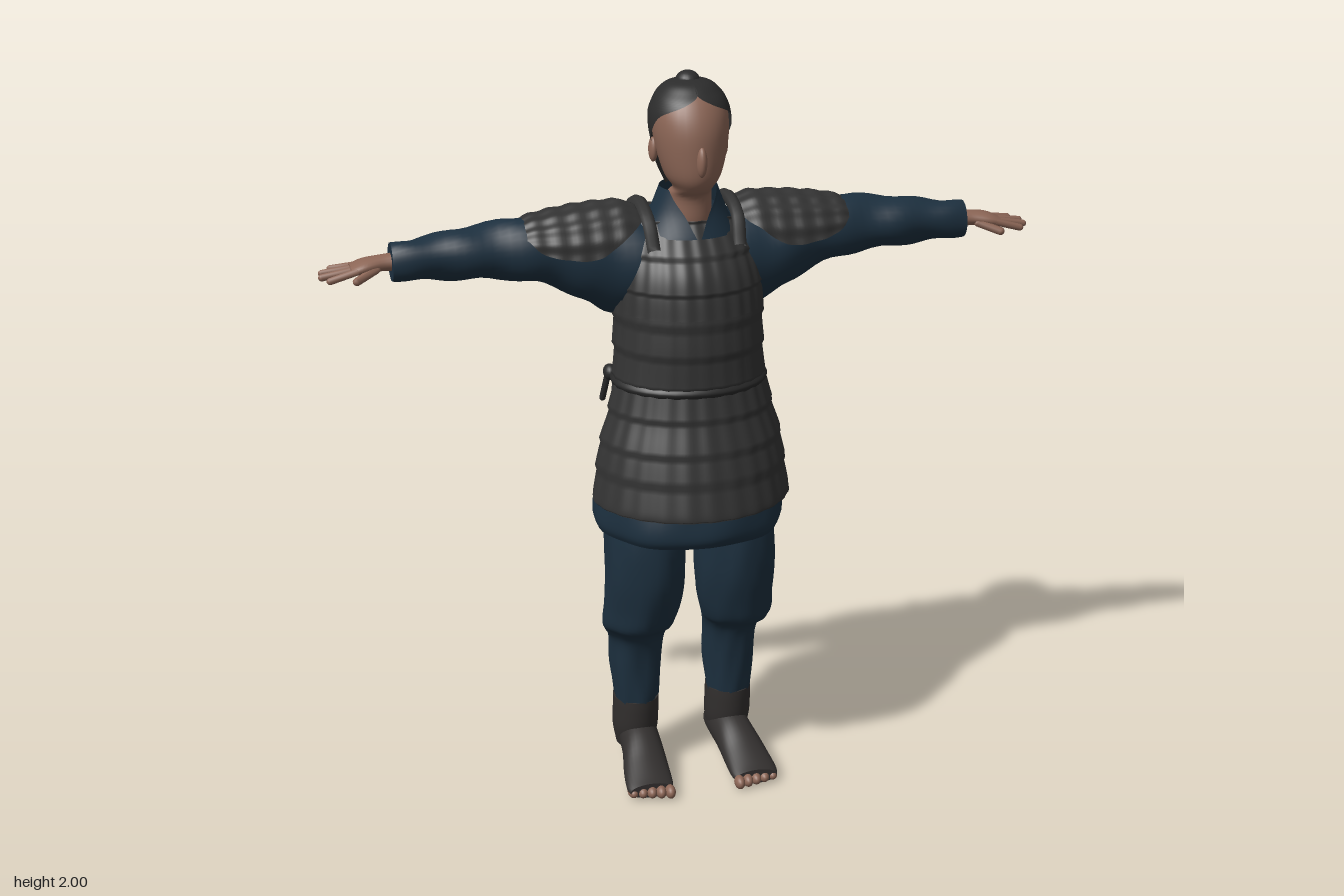
import * as THREE from 'three';

const mat = (name, color) => {
  const m = new THREE.MeshStandardMaterial({ color, side: THREE.DoubleSide });
  m.name = name;
  return m;
};

// Catmull-Rom blend of the rows of a section table
function resample(rows, div) {
  const out = [];
  const at = i => rows[Math.max(0, Math.min(rows.length - 1, i))];
  for (let i = 0; i < rows.length - 1; i++) {
    for (let k = 0; k < div; k++) {
      const t = k / div, a = at(i - 1), b = at(i), c = at(i + 1), d = at(i + 2);
      out.push(b.map((v, n) => 0.5 * (2 * v + (c[n] - a[n]) * t + (2 * a[n] - 5 * v + 4 * c[n] - d[n]) * t * t
        + (3 * v - a[n] - 3 * c[n] + d[n]) * t * t * t)));
    }
  }
  out.push(rows[rows.length - 1]);
  return out;
}

// Loft of elliptical sections [position, centreCos, centreSin, radiusCos, radiusSin, halfAngle?].
// Axis y: cos = z, sin = x. Axis x: cos = y, sin = z. Axis z: cos = x, sin = y.
// With a halfAngle the section is an open arc around the angle `mid`.
function loft(rows, { axis = 'y', div = 5, seg = 32, mid = 0, bump = () => 0 } = {}) {
  const secs = resample(rows, div), open = rows[0].length > 5;
  const w = open ? seg + 1 : seg, pos = [], idx = [];
  const put = (p, c, s) => pos.push(...(axis === 'y' ? [s, p, c] : axis === 'x' ? [p, c, s] : [c, s, p]));
  const ring = ([p, cc, cs, rc, rs, h]) => {
    for (let j = 0; j < w; j++) {
      const a = open ? mid + h * (2 * j / seg - 1) : 2 * Math.PI * j / seg, b = bump(a, p);
      put(p, cc + (rc + b) * Math.cos(a), cs + (rs + b) * Math.sin(a));
    }
  };
  secs.forEach(ring);
  for (let i = 0; i < secs.length - 1; i++) {
    for (let j = 0; j < seg; j++) {
      const k = (j + 1) % w, a = i * w + j, b = i * w + k;
      idx.push(a, b, b + w, a, b + w, a + w);
    }
  }
  if (!open) {
    [secs[0], secs[secs.length - 1]].forEach((s, end) => {
      const start = pos.length / 3;
      ring(s);
      put(s[0], s[1], s[2]);
      for (let j = 0; j < seg; j++) {
        const a = start + j, b = start + (j + 1) % seg;
        idx.push(start + seg, end ? a : b, end ? b : a);
      }
    });
  }
  const g = new THREE.BufferGeometry();
  g.setAttribute('position', new THREE.Float32BufferAttribute(pos, 3));
  g.setIndex(idx);
  g.computeVertexNormals();
  return g;
}

// Copy of a geometry on the other side of x = 0
function mirrored(geo) {
  const g = geo.clone().scale(-1, 1, 1), ix = g.index.array;
  for (let i = 0; i < ix.length; i += 3) [ix[i], ix[i + 1]] = [ix[i + 1], ix[i]];
  g.computeVertexNormals();
  return g;
}

// Rounded finger between two points
function finger(a, b, r) {
  const p = new THREE.Vector3(...a), q = new THREE.Vector3(...b), d = q.clone().sub(p);
  const g = new THREE.CapsuleGeometry(r, d.length(), 4, 8);
  const turn = new THREE.Quaternion().setFromUnitVectors(new THREE.Vector3(0, 1, 0), d.normalize());
  return g.applyQuaternion(turn).translate((p.x + q.x) / 2, (p.y + q.y) / 2, (p.z + q.z) / 2);
}

const ellipsoid = (x, y, z, rx, ry, rz) => new THREE.SphereGeometry(1, 20, 14).scale(rx, ry, rz).translate(x, y, z);

// Overlapping rows of small plates, and soft cloth folds
const lames = (a, p) => { const f = -p / 0.085; return 0.007 * (f - Math.floor(f)) + 0.0015 * Math.cos(a * 26); };
const folds = (a, p) => 0.004 * Math.sin(a * 5 + p * 14) + 0.002 * Math.sin(a * 9 - p * 23);
const creases = (a, p) => 0.0035 * Math.sin(p * 42 + 2.5 * Math.sin(a)) + 0.002 * Math.sin(3 * a + p * 17);

export function createModel() {
  const model = new THREE.Group();
  model.name = 'armouredFigure';
  const armour = mat('armour grey', 0x333333), cloth = mat('cloth blue', 0x1d303f), skin = mat('skin', 0x8c6656);
  const hair = mat('hair', 0x2c2c2c), boot = mat('boot', 0x322f2e), cord = mat('cord', 0x292929);
  const add = (name, geo, m) => {
    const mesh = new THREE.Mesh(geo, m);
    mesh.name = name;
    model.add(mesh);
  };
  const pair = (name, geo, m) => {
    add(name + 'Left', geo, m);
    add(name + 'Right', mirrored(geo), m);
  };

  // Head and neck
  add('head', loft([[1.58, 0, 0, .055, .055], [1.62, 0, 0, .06, .06], [1.68, .005, 0, .06, .058], [1.705, .035, 0, .068, .05],
    [1.74, .035, 0, .09, .072], [1.8, .025, 0, .105, .09], [1.86, .015, 0, .112, .099], [1.91, .01, 0, .1, .095],
    [1.95, 0, 0, .08, .075], [1.975, 0, 0, .03, .03]]), skin);
  add('nose', ellipsoid(0, 1.79, .126, .014, .04, .02), skin);
  pair('ear', ellipsoid(.094, 1.8, -.005, .012, .033, .02), skin);

  // Hair and topknot
  add('hair', loft([[1.7, 0, 0, .07, .06, 1.1], [1.76, 0, 0, .09, .085, 1.3], [1.82, .01, 0, .109, .1, 1.5],
    [1.86, .01, 0, .117, .107, 1.75], [1.9, .005, 0, .115, .106, 2.1], [1.93, .005, 0, .101, .096, 2.75],
    [1.952, 0, 0, .085, .082, Math.PI], [1.974, 0, 0, .055, .055, Math.PI], [1.984, 0, 0, .005, .005, Math.PI]],
  { mid: Math.PI, seg: 40 }), hair);
  add('topknot', ellipsoid(0, 1.974, -.01, .032, .026, .034), hair);

  // Robe and crossed collar
  add('robe', loft([[.76, 0, 0, .215, .25], [.79, 0, 0, .23, .26], [.86, 0, 0, .222, .255], [1, 0, 0, .19, .235],
    [1.17, 0, 0, .155, .195], [1.3, -.01, 0, .155, .18], [1.45, -.02, 0, .155, .185], [1.55, -.04, 0, .125, .18],
    [1.61, -.045, 0, .098, .135], [1.645, -.03, 0, .07, .07]], { bump: folds, seg: 48 }), cloth);
  add('collar', loft([[1.58, -.01, 0, .115, .13, 3.1], [1.64, -.008, 0, .092, .1, 2.8], [1.7, -.005, 0, .082, .076, 2.15]],
    { mid: Math.PI }), cloth);

  // Cuirass with front and back bibs
  const plate = { bump: lames, seg: 90, div: 10 };
  add('cuirass', loft([[1.15, 0, 0, .168, .205], [1.2, 0, 0, .168, .2], [1.3, -.008, 0, .178, .197],
    [1.41, -.014, 0, .176, .197]], plate), armour);
  const bib = h => [[1.38, -.012, 0, .178, .197, h[0]], [1.44, -.017, 0, .176, .197, h[1]], [1.5, -.025, 0, .167, .19, h[2]],
    [1.57, -.038, 0, .135, .175, h[3]], [1.62, -.045, 0, .108, .15, h[4]]];
  add('frontBib', loft(bib([1.4, 1.15, .95, .85, .85]), plate), armour);
  add('backBib', loft(bib([1.4, 1.2, 1.05, .95, .85]), { ...plate, mid: Math.PI }), armour);
  const strap = new THREE.CatmullRomCurve3([[.115, 1.55, .085], [.12, 1.62, .045], [.12, 1.648, -.04], [.12, 1.62, -.13],
    [.115, 1.55, -.17]].map(p => new THREE.Vector3(...p)));
  pair('shoulderStrap', new THREE.TubeGeometry(strap, 24, .018, 8), armour);

  // Waist cord with side knots
  add('waistCord', loft([[1.165, 0, 0, .17, .206], [1.18, 0, 0, .179, .213], [1.195, 0, 0, .17, .204]]), cord);
  pair('sideKnot', ellipsoid(.2, 1.18, -.07, .018, .022, .025), cord);
  pair('sideTie', finger([.205, 1.17, -.075], [.215, 1.1, -.095], .009), cord);

  // Armoured skirt panels, open at the hips
  add('frontSkirt', loft([[.845, 0, 0, .243, .265, 1.3], [.875, 0, 0, .242, .266, 1.52], [1, 0, 0, .215, .248, 1.57],
    [1.1, 0, 0, .186, .222, 1.57], [1.18, 0, 0, .168, .206, 1.57]], plate), armour);
  add('backSkirt', loft([[.785, 0, 0, .246, .24, .68], [.82, 0, 0, .248, .25, .88], [.95, 0, 0, .22, .245, .92],
    [1.08, 0, 0, .185, .22, .98], [1.18, 0, 0, .168, .206, 1.1]], { ...plate, mid: Math.PI }), armour);

  // Sleeves and shoulder guards
  pair('sleeve', loft([[.1, 1.5, -.05, .11, .11], [.2, 1.49, -.055, .135, .11], [.28, 1.515, -.055, .115, .1],
    [.38, 1.54, -.055, .09, .088], [.5, 1.545, -.055, .076, .075], [.62, 1.545, -.05, .064, .066],
    [.72, 1.543, -.047, .053, .056], [.78, 1.54, -.045, .047, .052]], { axis: 'x', bump: creases }), cloth);
  pair('shoulderGuard', loft([[.13, 1.53, -.045, .11, .1, .7], [.17, 1.535, -.045, .124, .112, 1.1],
    [.25, 1.53, -.048, .128, .117, 1.5], [.33, 1.53, -.048, .12, .113, 1.5], [.4, 1.54, -.048, .098, .1, 1.4],
    [.435, 1.545, -.048, .082, .09, 1]], { axis: 'x', seg: 60, div: 8,
    bump: (a, p) => .002 * Math.sin(p * 110) + .002 * Math.cos(a * 16) }), armour);

  // Hands
  pair('palm', loft([[.76, 1.54, -.045, .025, .03], [.8, 1.54, -.045, .021, .029], [.85, 1.535, -.044, .019, .041],
    [.885, 1.527, -.043, .013, .039]], { axis: 'x', seg: 16 }), skin);
  [[-.075, -.085, .93], [-.054, -.062, .955], [-.033, -.037, .958], [-.012, -.013, .94]].forEach(([z0, z1, tip], i) =>
    pair('finger' + (i + 1), finger([.87, 1.53, z0], [tip, 1.522 - .004 * i, z1], .0095), skin));
  pair('thumb', finger([.82, 1.53, -.02], [.875, 1.51, .008], .011), skin);

  // Baggy trousers gathered below the knee
  pair('trouserLeg', loft([[.17, -.07, .135, .063, .056], [.22, -.07, .135, .069, .062], [.32, -.07, .135, .077, .072],
    [.4, -.06, .135, .081, .075], [.44, -.045, .14, .09, .088], [.47, -.022, .14, .113, .098], [.53, -.01, .132, .125, .104],
    [.62, .005, .127, .135, .108], [.72, .01, .125, .138, .109], [.83, 0, .12, .14, .112]],
  { bump: (a, p) => .6 * folds(a, p) }), cloth);

  // Boots with bare toes
  pair('bootShaft', loft([[.06, -.09, .135, .06, .052], [.12, -.083, .135, .075, .063], [.18, -.075, .135, .074, .064],
    [.215, -.073, .135, .073, .064]]), boot);
  pair('foot', loft([[-.165, .128, .065, .02, .018], [-.145, .128, .077, .043, .044], [-.09, .13, .09, .054, .062],
    [0, .136, .078, .057, .058], [.08, .145, .052, .064, .041], [.14, .15, .035, .066, .027], [.165, .151, .03, .06, .021]],
  { axis: 'z' }), boot);
  for (let i = 0; i < 5; i++) {
    pair('toe' + (i + 1), ellipsoid(.1 + .025 * i, .024, .172 - .006 * i, .0145, .019 - .001 * i, .024), skin);
  }
  return model;
}
